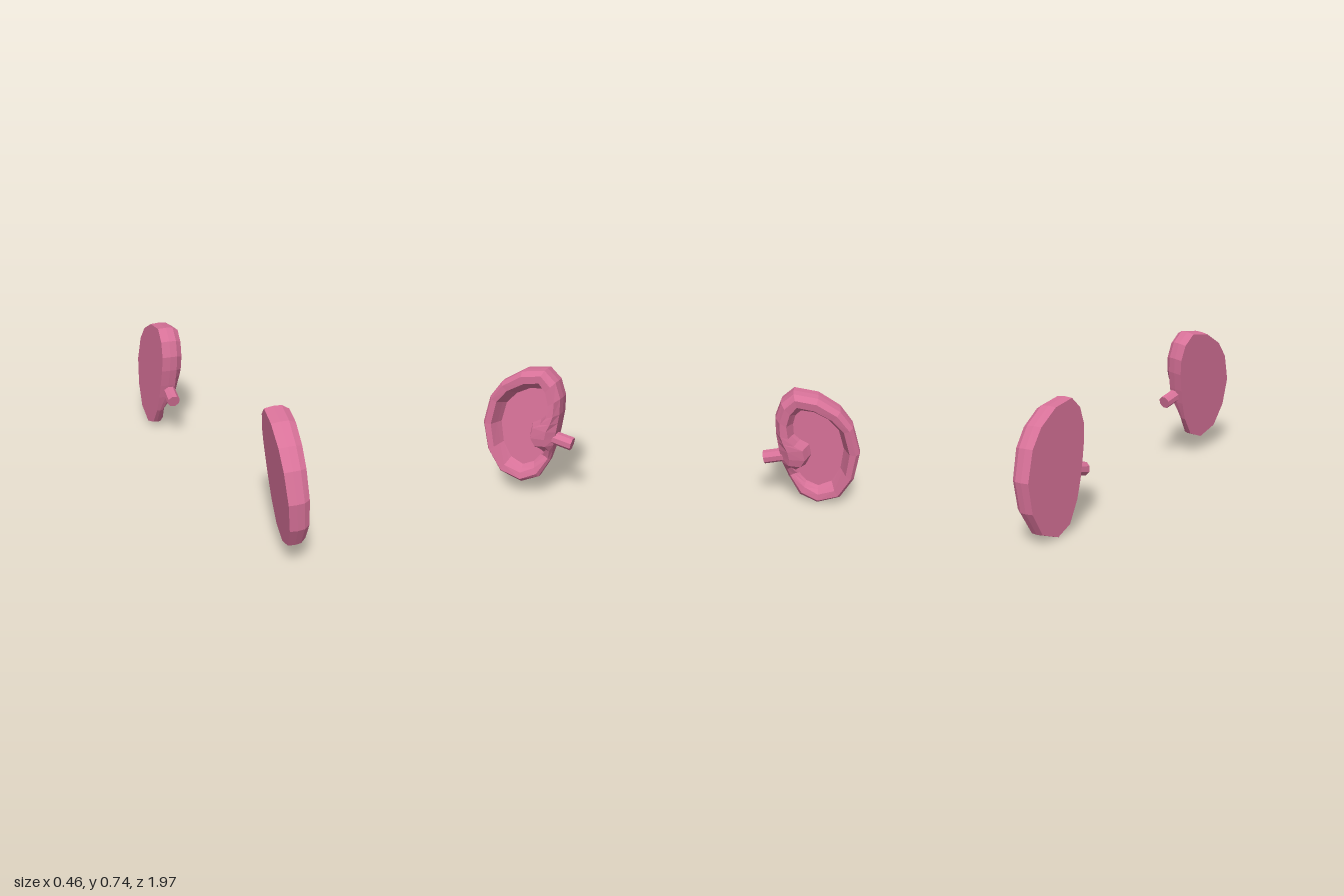
import * as THREE from 'three';

const skin = new THREE.MeshStandardMaterial({ color: 0xd87299, flatShading: true });
skin.name = 'pink skin';

// Per station around the ear: outer outline (u, v), rim's inner edge, bowl floor edge, rim height
const stations = [
  [[-.075, -.285], [-.055, -.235], [-.045, -.205], .06],
  [[.02, -.322], [.02, -.268], [.02, -.232], .075],
  [[.135, -.275], [.105, -.23], [.088, -.198], .09],
  [[.2, -.155], [.158, -.13], [.13, -.115], .1],
  [[.22, 0], [.17, 0], [.14, 0], .105],
  [[.175, .15], [.132, .13], [.107, .108], .11],
  [[.105, .24], [.067, .2], [.047, .168], .115],
  [[-.01, .31], [-.03, .252], [-.03, .205], .12],
  [[-.135, .328], [-.115, .265], [-.095, .21], .12],
  [[-.195, .27], [-.15, .22], [-.122, .18], .12],
  [[-.22, .185], [-.165, .15], [-.132, .13], .12],
  [[-.215, .1], [-.152, .08], [-.125, .07], .12],
  [[-.205, .05], [-.12, .04], [-.09, .04], .12],
  [[-.195, 0], [-.075, .015], [-.042, .015], .12],
  [[-.185, -.04], [-.06, -.045], [-.028, -.045], .115],
  [[-.175, -.08], [-.08, -.09], [-.055, -.11], .105],
  [[-.16, -.125], [-.13, -.115], [-.105, -.145], .07],
  [[-.14, -.18], [-.115, -.165], [-.085, -.16], .045],
];
const FLOOR = .03;
const mix = THREE.MathUtils.lerp;

// Rings from the flat back, up the side wall, over the rim and down into the bowl
const rings = [
  ([o]) => [o[0], o[1], 0],
  ([o, , , h]) => [o[0] * 1.02, o[1] * 1.01, h * .38],
  ([o, , , h]) => [o[0] * 1.01, o[1], h * .72],
  ([o, t, , h]) => [mix(o[0], t[0], .35), mix(o[1], t[1], .35), h],
  ([, t, , h]) => [t[0], t[1], h - .005],
  ([, t, f, h]) => [mix(t[0], f[0], .6), mix(t[1], f[1], .6), mix(h, FLOOR, .65)],
  ([, , f]) => [f[0], f[1], FLOOR],
];

function earShell(place, flip) {
  const n = stations.length, pos = [], index = [];
  const tri = (a, b, c) => index.push(a, ...(flip ? [c, b] : [b, c]));
  const loops = rings.map(r => stations.map(r));
  for (const loop of loops) for (const p of loop) pos.push(...place(...p).toArray());
  for (let k = 0; k < loops.length - 1; k++) {
    for (let i = 0; i < n; i++) {
      const a = k * n + i, b = k * n + (i + 1) % n;
      tri(a, b, b + n);
      tri(a, b + n, a + n);
    }
  }
  // Flat back and bowl floor
  const cap = loop => THREE.ShapeUtils.triangulateShape(loop.map(p => new THREE.Vector2(p[0], p[1])), []);
  const last = (loops.length - 1) * n;
  for (const [a, b, c] of cap(loops[0])) tri(a, c, b);
  for (const [a, b, c] of cap(loops[loops.length - 1])) tri(last + a, last + b, last + c);
  const g = new THREE.BufferGeometry();
  g.setAttribute('position', new THREE.Float32BufferAttribute(pos, 3));
  g.setIndex(index);
  g.computeVertexNormals();
  return g;
}

function makeEar(name, centre, facing, side) {
  const ear = new THREE.Group();
  ear.name = name;
  // Local frame: u points away from the middle, v up the ear, n out of the bowl
  const n = new THREE.Vector3(...facing).normalize();
  const v = new THREE.Vector3(0, 1, 0).addScaledVector(n, -n.y).normalize();
  const u = n.clone().cross(v).multiplyScalar(side);
  const place = (a, b, h) => new THREE.Vector3(...centre)
    .addScaledVector(u, a).addScaledVector(v, b).addScaledVector(n, h);

  const shell = new THREE.Mesh(earShell(place, side > 0), skin);
  shell.name = name + 'Shell';

  // Peg that plugs into the head
  const from = place(-.13, -.03, .06), to = place(-.275, -.067, .052);
  const peg = new THREE.Mesh(new THREE.CylinderGeometry(.036, .036, from.distanceTo(to), 8), skin);
  peg.name = name + 'Peg';
  peg.position.copy(from).lerp(to, .5);
  peg.quaternion.setFromUnitVectors(new THREE.Vector3(0, 1, 0), to.clone().sub(from).normalize());

  ear.add(shell, peg);
  return ear;
}

export function createModel() {
  const model = new THREE.Group();
  model.name = 'earPair';
  model.add(
    makeEar('frontEar', [-.142, .41, .748], [1, .11, .41], 1),
    makeEar('rearEar', [.087, .328, -.775], [1, -.037, .228], -1),
  );
  return model;
}
